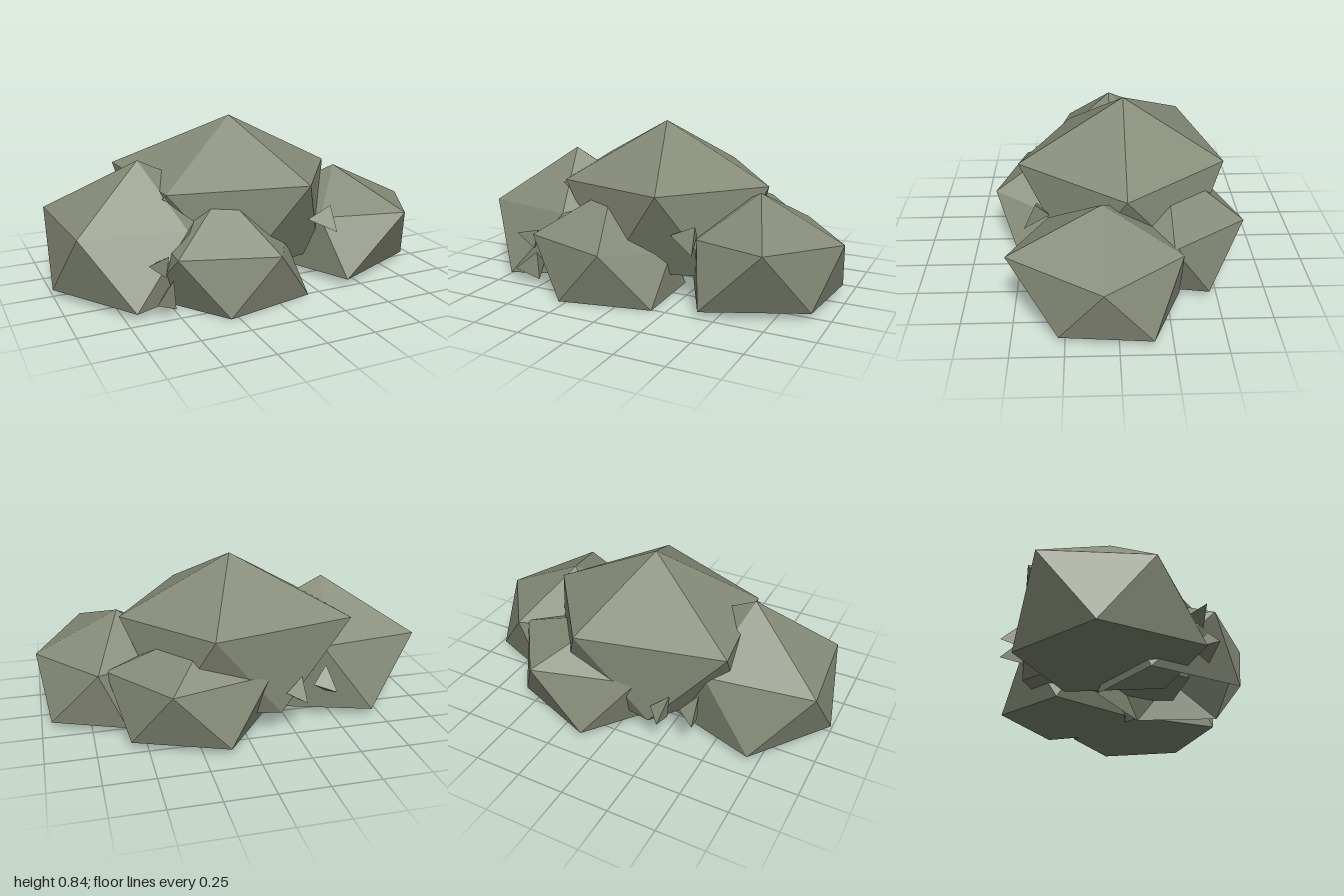
import * as THREE from 'three';
import { ConvexGeometry } from 'three/addons/geometries/ConvexGeometry.js';

export function createModel() {
  const group = new THREE.Group();
  const foliage = new THREE.MeshStandardMaterial({ color: 0x868b78, flatShading: true, side: THREE.DoubleSide });
  foliage.name = 'dull olive';

  // Faceted solid around a handful of corners
  function addSolid(name, corners) {
    const mesh = new THREE.Mesh(new ConvexGeometry(corners.map((p) => new THREE.Vector3(...p))), foliage);
    mesh.name = name;
    group.add(mesh);
    return mesh;
  }

  // Clump: peak, five shoulder points [x, y, z], five points [x, z] on a flat base
  function clump(name, peak, shoulder, baseY, base) {
    return addSolid(name, [peak, ...shoulder, ...base.map(([x, z]) => [x, baseY, z])]);
  }

  clump('centreClump', [-0.01, 0.84, -0.05],
    [[0.57, 0.54, -0.05], [0.19, 0.565, 0.49], [-0.47, 0.53, 0.24], [-0.56, 0.56, -0.39], [0.18, 0.56, -0.56]],
    0.11, [[0.4, 0.22], [-0.14, 0.37], [-0.49, -0.05], [-0.18, -0.47], [0.38, -0.36]]);

  clump('rightClump', [-0.54, 0.66, 0.01],
    [[-0.97, 0.39, -0.27], [-0.92, 0.37, 0.25], [-0.41, 0.38, 0.37], [-0.12, 0.45, 0.01], [-0.43, 0.4, -0.36]],
    0.035, [[-1, 0], [-0.7, 0.45], [-0.2, 0.25], [-0.2, -0.25], [-0.7, -0.41]]);

  const front = clump('frontClump', [-0.18, 0.52, 0.25],
    [[-0.04, 0.285, 0.64], [-0.51, 0.29, 0.5], [-0.48, 0.29, 0.08], [-0.07, 0.29, -0.04], [0.17, 0.22, 0.27]],
    0, [[-0.29, 0.61], [0.18, 0.51], [0.17, 0.09], [-0.25, -0.08], [-0.58, 0.2]]);

  // The front clump is an open shell: drop the triangles lying on the ground
  const p = front.geometry.attributes.position;
  const shell = [];
  for (let i = 0; i < p.count; i += 3) {
    if (p.getY(i) + p.getY(i + 1) + p.getY(i + 2) > 0.01) shell.push(...p.array.slice(i * 3, i * 3 + 9));
  }
  front.geometry = new THREE.BufferGeometry();
  front.geometry.setAttribute('position', new THREE.Float32BufferAttribute(shell, 3));
  front.geometry.computeVertexNormals();

  clump('leftClump', [0.57, 0.535, 0.07],
    [[0.74, 0.365, 0.52], [1, 0.325, 0.07], [0.71, 0.335, -0.31], [0.25, 0.34, -0.12], [0.34, 0.335, 0.34]],
    0.035, [[0.42, 0.5], [0.91, 0.28], [0.95, -0.16], [0.58, -0.31], [0.22, 0.1]]);

  clump('backClump', [0.13, 0.54, -0.27],
    [[0.4, 0.34, -0.64], [0.67, 0.34, -0.27], [0.36, 0.33, 0.04], [-0.1, 0.33, -0.12], [-0.12, 0.33, -0.48]],
    0.035, [[0.12, -0.64], [0.58, -0.46], [0.5, 0], [0.18, 0.02], [-0.14, -0.3]]);

  // Small pointed leaves poking out between the clumps, four corners each
  const leaves = [
    [[0.23, 0.36, 0.4], [0.36, 0.42, 0.4], [0.37, 0.29, 0.46], [0.34, 0.35, 0.33]],
    [[-0.64, 0.27, 0.46], [-0.53, 0.29, 0.43], [-0.55, 0.19, 0.44], [-0.55, 0.25, 0.36]],
    [[-0.62, 0.09, 0.51], [-0.52, 0.18, 0.46], [-0.51, 0.03, 0.46], [-0.53, 0.1, 0.38]],
    [[-0.49, 0.51, 0.23], [-0.41, 0.55, 0.22], [-0.39, 0.45, 0.24], [-0.43, 0.5, 0.16]],
    [[-0.45, 0.22, -0.53], [-0.43, 0.32, -0.41], [-0.35, 0.24, -0.46], [-0.43, 0.18, -0.42]],
    [[-0.28, 0.2, -0.57], [-0.29, 0.29, -0.45], [-0.2, 0.22, -0.48], [-0.28, 0.16, -0.45]],
  ];
  leaves.forEach((corners, i) => addSolid(`leaf${i + 1}`, corners));

  return group;
}
